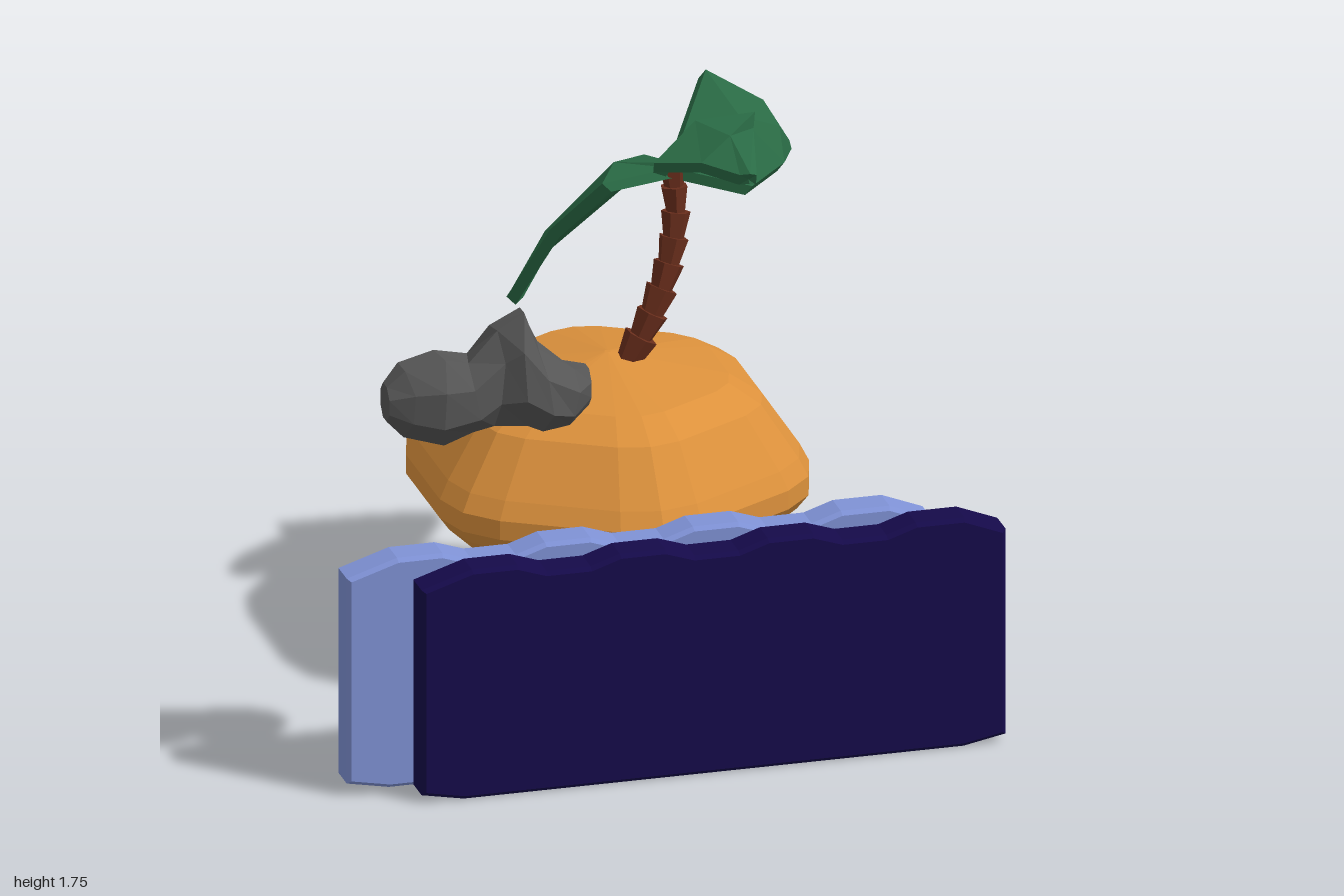
import * as THREE from 'three';

const material = (color) => new THREE.MeshStandardMaterial({ color, flatShading: true, roughness: 0.9 });
const V = (x, y, z) => new THREE.Vector3(x, y, z);

// Skin closed loops of points (counter-clockwise seen from the end) and cap both ends
function loft(rings) {
  const pos = [];
  const tri = (...pts) => pts.forEach((p) => pos.push(p.x, p.y, p.z));
  const n = rings[0].length;
  for (let i = 0; i < rings.length - 1; i++) {
    for (let j = 0; j < n; j++) {
      const k = (j + 1) % n;
      const [a, b, c, d] = [rings[i][j], rings[i][k], rings[i + 1][k], rings[i + 1][j]];
      tri(a, b, c);
      tri(a, c, d);
    }
  }
  [rings[0].slice().reverse(), rings[rings.length - 1]].forEach((ring) => {
    const mid = ring.reduce((s, p) => s.add(p), V(0, 0, 0)).divideScalar(n);
    ring.forEach((p, j) => tri(mid, p, ring[(j + 1) % n]));
  });
  const geometry = new THREE.BufferGeometry();
  geometry.setAttribute('position', new THREE.Float32BufferAttribute(pos, 3));
  geometry.computeVertexNormals();
  return geometry;
}

function add(parent, name, geometry, mat) {
  const mesh = new THREE.Mesh(geometry, mat);
  mesh.name = name;
  parent.add(mesh);
  return mesh;
}

// Board with a wavy top edge and chamfered rims
function waveGeometry() {
  const bevel = 0.012, depth = 0.113;
  const shape = new THREE.Shape();
  shape.moveTo(-0.8, 0.025);
  shape.lineTo(-0.67, 0);
  shape.lineTo(0.87, 0);
  shape.lineTo(1, 0.025);
  shape.lineTo(1, 0.68);
  for (let i = 3; i >= 0; i--) {
    const crest = -0.575 + i * 0.456;
    shape.lineTo(crest + (i === 3 ? 0.08 : 0.07), 0.73);
    shape.lineTo(crest - 0.07, 0.73);
    if (i > 0) {
      shape.lineTo(crest - 0.16, 0.7);
      shape.lineTo(crest - 0.296, 0.7);
    }
  }
  shape.lineTo(-0.8, 0.68);
  const geometry = new THREE.ExtrudeGeometry(shape, {
    depth: depth - 2 * bevel, bevelEnabled: true, bevelSegments: 1,
    bevelThickness: bevel, bevelSize: bevel, bevelOffset: -bevel,
  });
  return geometry.translate(0, 0, bevel);
}

// Rounded hexagonal mound, pointed above and below
function islandGeometry() {
  const profile = [
    [0.28, 0.01], [0.39, 0.37], [0.43, 0.48], [0.52, 0.58], [0.565, 0.615],
    [0.625, 0.615], [0.68, 0.585], [0.84, 0.47], [0.9, 0.37], [0.965, 0.01],
  ];
  return loft(profile.map(([y, r]) => {
    const ring = [];
    for (let corner = 0; corner < 6; corner++) {
      for (const side of [-1, 0, 1]) {
        const a = THREE.MathUtils.degToRad(30 + corner * 60 + side * 12);
        const s = side ? r * 0.973 : r;
        ring.push(V(0.055 + Math.cos(a) * s, y, -0.26 - Math.sin(a) * s));
      }
    }
    return ring;
  }));
}

// Thick folded leaf: each row holds left, spine and right points
function leafGeometry(rows, offset) {
  const under = V(...offset);
  return loft(rows.map((row) => {
    const top = row.map((p) => V(...p));
    const bottom = top.map((p) => p.clone().add(under)).reverse();
    return [...top, ...bottom];
  }));
}

// Lumpy boulder from sections: x, bottom, top, back, front, narrowing of the crown
function rockGeometry() {
  const sections = [
    [-0.9, 1.22, 1.33, 0.64, 0.74, 0], [-0.84, 1.17, 1.38, 0.58, 0.78, 0.1],
    [-0.74, 1.14, 1.41, 0.57, 0.82, 0.1], [-0.65, 1.175, 1.395, 0.59, 0.82, 0.15],
    [-0.57, 1.19, 1.49, 0.63, 0.81, 0.35], [-0.5, 1.195, 1.545, 0.645, 0.86, 0.5],
    [-0.44, 1.175, 1.43, 0.64, 0.87, 0.3], [-0.35, 1.18, 1.355, 0.63, 0.85, 0.1],
    [-0.285, 1.22, 1.335, 0.67, 0.77, 0],
  ];
  return loft(sections.map(([x, y0, y1, z0, z1, narrow], i) => {
    const ring = [];
    for (let j = 0; j < 8; j++) {
      const a = ((j + 0.5) / 8) * Math.PI * 2;
      const up = Math.sin(a) / Math.cos(Math.PI / 8);
      const out = Math.cos(a) / Math.cos(Math.PI / 8);
      const squeeze = 1 - narrow * Math.max(0, up);
      const lean = (0.73 - (z0 + z1) / 2) * narrow * Math.max(0, up);
      const jog = 0.012 * Math.sin(i * 2.3 + j * 1.7) * (i % 8 ? 1 : 0);
      ring.push(V(x + jog, (y0 + y1) / 2 + (up * (y1 - y0)) / 2,
        (z0 + z1) / 2 + lean - (out * squeeze * (z1 - z0)) / 2));
    }
    return ring;
  }));
}

export function createModel() {
  const model = new THREE.Group();
  model.name = 'islandScene';

  // Two staggered wave boards
  add(model, 'frontWave', waveGeometry(), material(0x150a4a)).position.z = 0.635;
  add(model, 'backWave', waveGeometry(), material(0x7f92d6)).position.set(-0.2, 0.017, 0.526);

  add(model, 'sandIsland', islandGeometry(), material(0xdc913c));
  add(model, 'floatingRock', rockGeometry(), material(0x565656));

  // Palm trunk: flared cups stacked along a curve
  const palm = new THREE.Group();
  palm.name = 'palmTree';
  model.add(palm);
  const bark = material(0x6a2e1c);
  const path = new THREE.CatmullRomCurve3([
    V(0.11, 0.94, -0.23), V(0.18, 1.07, -0.235), V(0.235, 1.2, -0.255),
    V(0.27, 1.35, -0.28), V(0.265, 1.53, -0.3),
  ]);
  const count = 8;
  for (let i = 0; i < count; i++) {
    const a = path.getPointAt(i / count);
    const b = path.getPointAt((i + 1) / count);
    const axis = b.clone().sub(a);
    const r = 0.053 - 0.0017 * i;
    const cup = add(palm, 'trunkSegment', new THREE.CylinderGeometry(r, r * 0.66, axis.length() * 1.15, 6), bark);
    cup.position.copy(a).lerp(b, 0.5);
    cup.quaternion.setFromUnitVectors(V(0, 1, 0), axis.normalize());
    cup.rotateY(i * 0.5);
  }

  // Three palm leaves spreading from the crown
  const green = material(0x2a6b45);
  add(palm, 'frontLeaf', leafGeometry([
    [[0.295, 1.53, -0.3], [0.27, 1.54, -0.29], [0.25, 1.52, -0.29]],
    [[0.49, 1.71, -0.19], [0.28, 1.74, -0.1], [0.125, 1.66, 0]],
    [[0.42, 1.755, 0.04], [0.34, 1.75, 0.07], [0.24, 1.69, 0.11]],
    [[0.375, 1.685, 0.235], [0.355, 1.69, 0.235], [0.33, 1.68, 0.21]],
  ], [0, -0.035, -0.01]), green);
  add(palm, 'rightLeaf', leafGeometry([
    [[0.26, 1.52, -0.28], [0.25, 1.53, -0.3], [0.27, 1.52, -0.33]],
    [[0.04, 1.5, -0.265], [0.12, 1.5, -0.42], [0.25, 1.46, -0.55]],
    [[-0.08, 1.31, -0.41], [-0.07, 1.27, -0.5], [-0.06, 1.2, -0.585]],
    [[-0.18, 1.06, -0.53], [-0.17, 1.06, -0.545], [-0.15, 1.07, -0.555]],
  ], [0.025, -0.025, 0.01]), green);
  add(palm, 'leftLeaf', leafGeometry([
    [[0.28, 1.54, -0.32], [0.29, 1.53, -0.3], [0.29, 1.51, -0.28]],
    [[0.42, 1.74, -0.48], [0.49, 1.63, -0.36], [0.49, 1.46, -0.22]],
    [[0.62, 1.59, -0.56], [0.65, 1.53, -0.49], [0.64, 1.45, -0.4]],
    [[0.7, 1.43, -0.63], [0.715, 1.43, -0.61], [0.71, 1.42, -0.57]],
  ], [-0.02, -0.03, -0.01]), green);

  return model;
}
